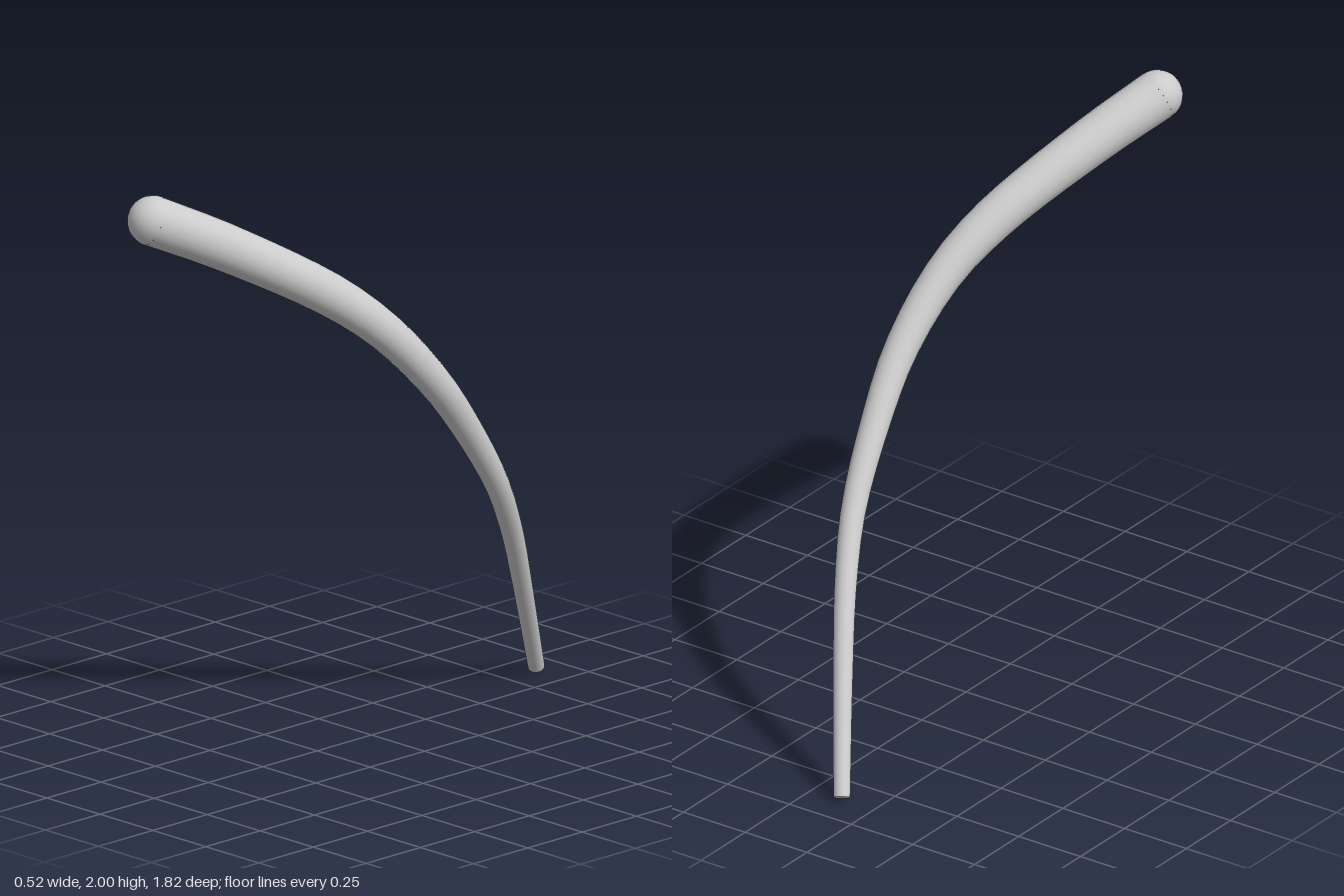
import * as THREE from 'three';

// Centreline from the thin foot to the rounded top: x, y, z, radius
const STATIONS = [
  [-0.13, 0.015, -0.885, 0.028],
  [0.004, 0.37, -0.69, 0.033],
  [0.084, 0.597, -0.565, 0.037],
  [0.148, 0.81, -0.43, 0.042],
  [0.185, 1.055, -0.25, 0.05],
  [0.198, 1.246, -0.093, 0.057],
  [0.166, 1.45, 0.1, 0.065],
  [0.095, 1.6, 0.28, 0.073],
  [-0.072, 1.806, 0.617, 0.081],
  [-0.18, 1.915, 0.83, 0.085],
];
const SIDES = 20;
const RINGS = 32;

function radiusAt(t) {
  const f = t * (STATIONS.length - 1);
  const i = Math.min(Math.floor(f), STATIONS.length - 2);
  return THREE.MathUtils.lerp(STATIONS[i][3], STATIONS[i + 1][3], f - i);
}

export function createModel() {
  const group = new THREE.Group();
  group.name = 'curvedHorn';
  const material = new THREE.MeshStandardMaterial({ color: 0xcccccc });
  const curve = new THREE.CatmullRomCurve3(
    STATIONS.map(([x, y, z]) => new THREE.Vector3(x, y, z)));

  const add = (name, geometry) => {
    const mesh = new THREE.Mesh(geometry, material);
    mesh.name = name;
    group.add(mesh);
    return mesh;
  };

  // Shaft: a unit tube whose rings are scaled to the tapering radius
  const shaft = new THREE.TubeGeometry(curve, RINGS, 1, SIDES);
  const pos = shaft.attributes.position;
  const v = new THREE.Vector3();
  for (let i = 0; i <= RINGS; i++) {
    const u = i / RINGS;
    const centre = curve.getPointAt(u);
    const r = radiusAt(curve.getUtoTmapping(u));
    for (let j = 0; j <= SIDES; j++) {
      const k = i * (SIDES + 1) + j;
      v.fromBufferAttribute(pos, k).sub(centre).multiplyScalar(r).add(centre);
      pos.setXYZ(k, v.x, v.y, v.z);
    }
  }
  add('shaft', shaft);

  // Rounded top end
  const dome = add('roundedEnd', new THREE.SphereGeometry(
    radiusAt(1), SIDES, 8, 0, Math.PI * 2, 0, Math.PI / 2));
  dome.position.copy(curve.getPointAt(1));
  dome.quaternion.setFromUnitVectors(new THREE.Vector3(0, 1, 0), curve.getTangentAt(1));

  // Flat cut at the thin end
  const foot = add('flatEnd', new THREE.CircleGeometry(radiusAt(0), SIDES));
  foot.position.copy(curve.getPointAt(0));
  foot.quaternion.setFromUnitVectors(new THREE.Vector3(0, 0, 1), curve.getTangentAt(0).negate());

  return group;
}
